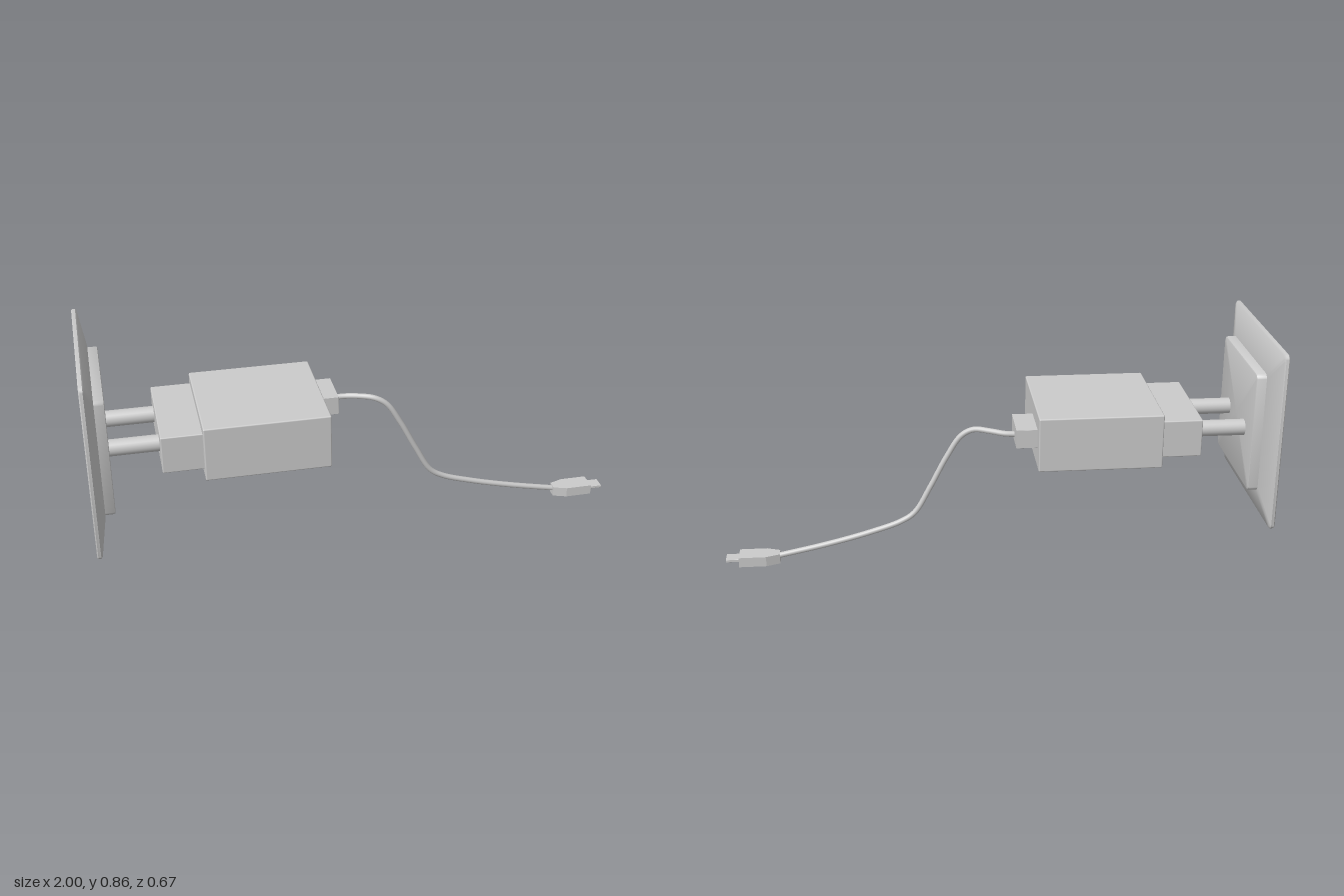
import * as THREE from 'three';
import { toCreasedNormals } from 'three/addons/utils/BufferGeometryUtils.js';
import { RoundedBoxGeometry } from 'three/addons/geometries/RoundedBoxGeometry.js';

const grey = new THREE.MeshStandardMaterial({ color: 0xcccccc });

function add(group, name, geometry, x = 0, y = 0, z = 0) {
  const mesh = new THREE.Mesh(geometry, grey);
  mesh.name = name;
  mesh.position.set(x, y, z);
  group.add(mesh);
  return mesh;
}

// Box given by its extents, with softly rounded edges
function addBox(group, name, [x0, x1], [y0, y1], [z0, z1], radius) {
  const geometry = new RoundedBoxGeometry(x1 - x0, y1 - y0, z1 - z0, 2, radius);
  return add(group, name, geometry, (x0 + x1) / 2, (y0 + y1) / 2, (z0 + z1) / 2);
}

// Solid lofted along x through rounded squares; sections are [x, half size, corner radius]
function loftSquares(sections) {
  const positions = [], index = [], steps = 6, n = 4 * (steps + 1);
  for (const [x, half, r] of sections) {
    for (let corner = 0; corner < 4; corner++) {
      const mid = Math.PI / 4 + corner * Math.PI / 2;
      const cy = Math.sign(Math.cos(mid)) * (half - r);
      const cz = Math.sign(Math.sin(mid)) * (half - r);
      for (let s = 0; s <= steps; s++) {
        const a = (corner + s / steps) * Math.PI / 2;
        positions.push(x, cy + r * Math.cos(a), cz + r * Math.sin(a));
      }
    }
  }
  const last = (sections.length - 1) * n, backCentre = last + n, frontCentre = backCentre + 1;
  positions.push(sections[0][0], 0, 0, sections[sections.length - 1][0], 0, 0);
  for (let j = 0; j < n; j++) {
    const k = (j + 1) % n;
    for (let o = 0; o < last; o += n) {
      index.push(o + j, o + k, o + n + k, o + j, o + n + k, o + n + j);
    }
    index.push(backCentre, k, j, frontCentre, last + j, last + k);
  }
  const geometry = new THREE.BufferGeometry();
  geometry.setAttribute('position', new THREE.Float32BufferAttribute(positions, 3));
  geometry.setIndex(index);
  return toCreasedNormals(geometry, 0.6);
}

export function createModel() {
  const model = new THREE.Group();
  model.name = 'wallCharger';

  // Wall plate: sloped frame and raised square insert
  const socket = new THREE.Group();
  socket.name = 'wallSocket';
  model.add(socket);
  add(socket, 'plateFrame', loftSquares([
    [-0.998, 0.329, 0.018], [-0.994, 0.333, 0.022], [-0.984, 0.333, 0.022],
    [-0.979, 0.328, 0.02], [-0.955, 0.23, 0.02],
  ]), 0, 0.53, 0);
  add(socket, 'plateInsert', loftSquares([
    [-0.97, 0.226, 0.022], [-0.925, 0.226, 0.022], [-0.921, 0.224, 0.02], [-0.919, 0.22, 0.018],
  ]), 0, 0.53, 0);

  // Charger: pins, neck and body
  const charger = new THREE.Group();
  charger.name = 'charger';
  model.add(charger);
  const pinProfile = [[0, -1], [0.014, -0.999], [0.024, -0.99], [0.03, -0.975], [0.03, -0.74]]
    .map(([r, x]) => new THREE.Vector2(r, x));
  for (const side of [-1, 1]) {
    const pin = add(charger, side > 0 ? 'frontPin' : 'backPin',
      new THREE.LatheGeometry(pinProfile, 24), 0, 0.512, side * 0.108);
    pin.rotation.z = -Math.PI / 2;
  }
  addBox(charger, 'chargerNeck', [-0.745, -0.59], [0.44, 0.579], [-0.196, 0.202], 0.004);
  addBox(charger, 'chargerBody', [-0.6, -0.151], [0.408, 0.611], [-0.218, 0.232], 0.005);

  // Cable with a plug at each end
  const lead = new THREE.Group();
  lead.name = 'chargingLead';
  model.add(lead);
  addBox(lead, 'chargerPlug', [-0.16, -0.075], [0.483, 0.553], [-0.17, -0.012], 0.001);
  const path = new THREE.CatmullRomCurve3([
    [-0.09, 0.508, -0.097], [-0.04, 0.511, -0.094], [0.01, 0.515, -0.076], [0.07, 0.513, -0.05],
    [0.115, 0.486, -0.041], [0.17, 0.4, -0.037], [0.23, 0.285, -0.037], [0.29, 0.182, -0.038],
    [0.34, 0.148, -0.04], [0.46, 0.107, -0.042], [0.62, 0.065, -0.043], [0.82, 0.022, -0.043],
  ].map((p) => new THREE.Vector3(...p)));
  add(lead, 'cable', new THREE.TubeGeometry(path, 90, 0.0105, 14));

  // Device plug: tapered grip and thin metal tip
  const outline = new THREE.Shape([
    [0.8, -0.018], [0.85, -0.036], [0.951, -0.036], [0.951, 0.036], [0.85, 0.036], [0.8, 0.018],
  ].map(([x, z]) => new THREE.Vector2(x, z)));
  const grip = add(lead, 'devicePlugGrip',
    new THREE.ExtrudeGeometry(outline, { depth: 0.038, bevelEnabled: false }), 0, 0, -0.043);
  grip.rotation.x = -Math.PI / 2;
  addBox(lead, 'devicePlugTip', [0.94, 1], [0.016, 0.026], [-0.067, -0.018], 0.001);

  return model;
}
